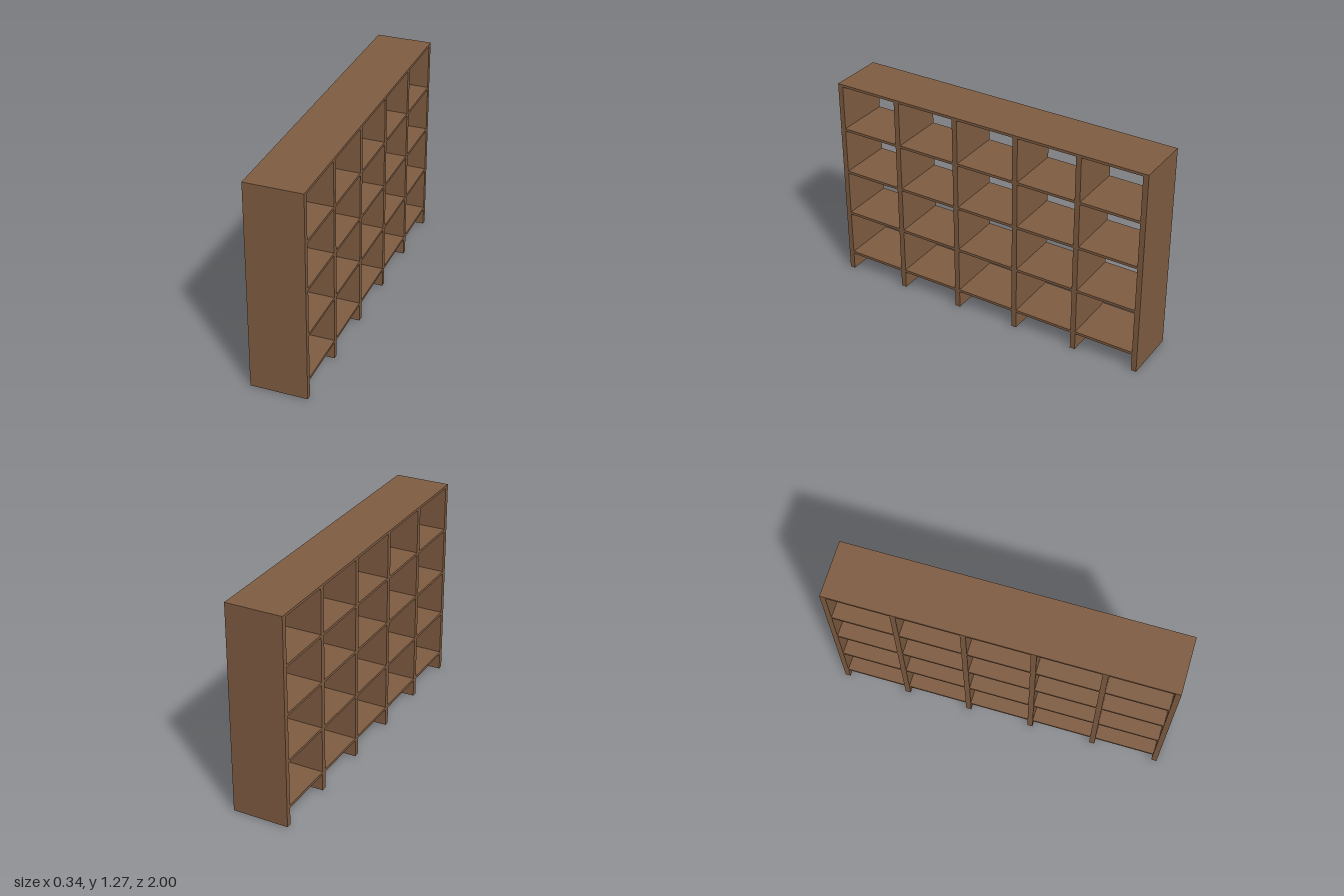
import * as THREE from 'three';

const DEPTH = 0.338, LENGTH = 2, HEIGHT = 1.27;
const POST = 0.032, BOARD = 0.016;
const BAYS = 5, SHELVES = 4;

export function createModel() {
  const group = new THREE.Group();
  group.name = 'openShelving';
  const wood = new THREE.MeshStandardMaterial({ color: 0x805d42 });

  const addBoard = (name, height, length, y, z) => {
    const mesh = new THREE.Mesh(new THREE.BoxGeometry(DEPTH, height, length), wood);
    mesh.name = name;
    mesh.position.set(0, y, z);
    group.add(mesh);
  };

  // Uprights: two end panels and four dividers, ending inside the top board
  const pitch = (LENGTH - POST) / BAYS;
  const postHeight = HEIGHT - BOARD / 2;
  for (let i = 0; i <= BAYS; i++) {
    const end = i === 0 || i === BAYS;
    // end panels stop under the top board so their outer faces do not overlap it
    const h = end ? HEIGHT - BOARD : postHeight;
    addBoard(end ? 'endPanel' : 'divider', h, POST, h / 2, -LENGTH / 2 + POST / 2 + i * pitch);
  }

  // Shelves: one board per bay and level, open front and back
  const firstY = 0.115, rise = (HEIGHT - BOARD / 2 - firstY) / SHELVES;
  for (let level = 0; level < SHELVES; level++) {
    for (let bay = 0; bay < BAYS; bay++) {
      addBoard('shelf', BOARD, pitch - POST, firstY + level * rise,
        -LENGTH / 2 + POST / 2 + (bay + 0.5) * pitch);
    }
  }

  // Top board over the full length
  addBoard('topBoard', BOARD, LENGTH, HEIGHT - BOARD / 2, 0);

  return group;
}
